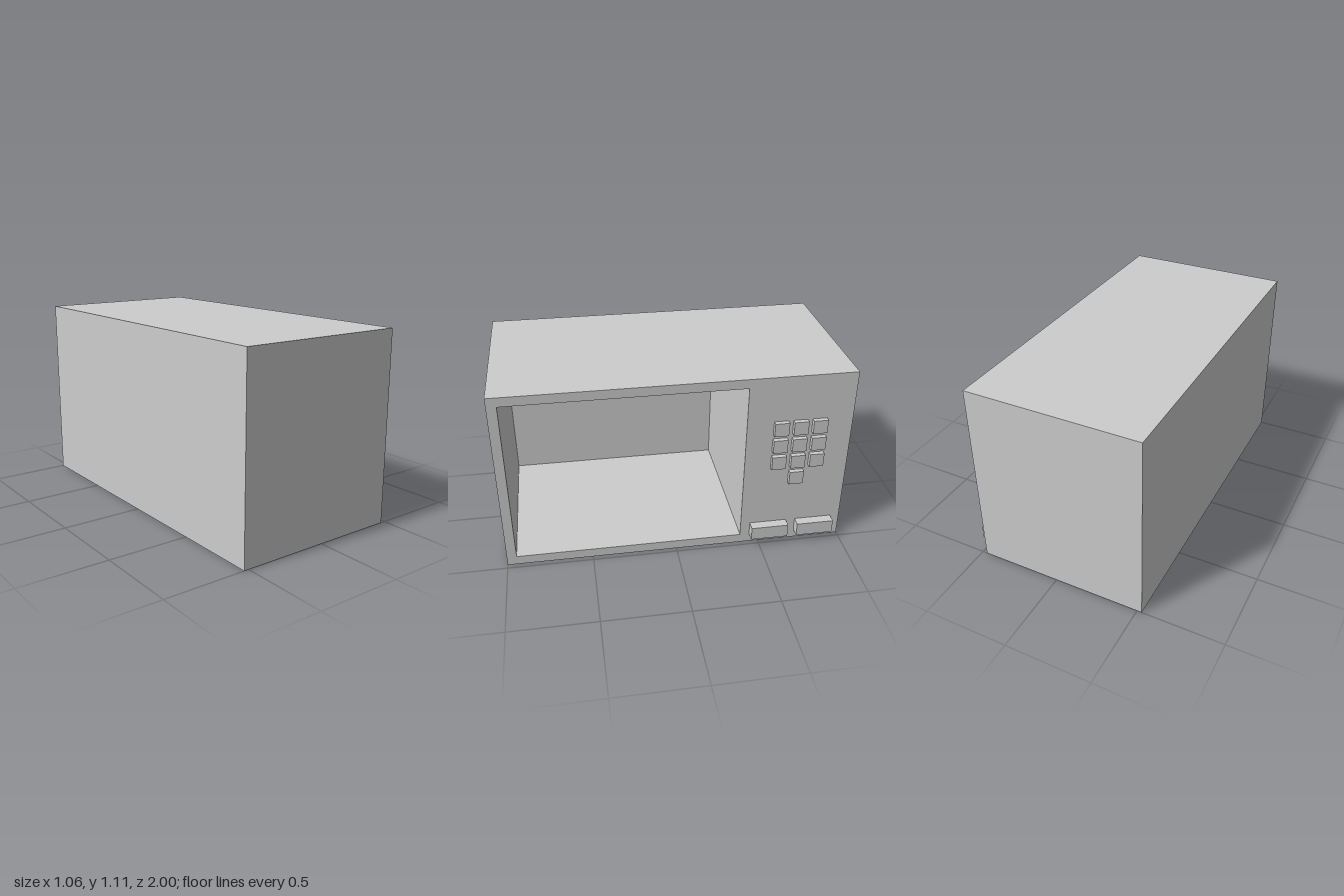
import * as THREE from 'three';

const casing = new THREE.MeshStandardMaterial({ color: 0xcccccc });
casing.name = 'casing grey';

const FACE = 0.472; // x of the control face
const BACK = -0.528;
const HEIGHT = 1.111;

function add(parent, name, geometry) {
  const mesh = new THREE.Mesh(geometry, casing);
  mesh.name = name;
  parent.add(mesh);
  return mesh;
}

// Box between two corners without its +x side; inward turns the faces to the inside
function openBox([x0, y0, z0], [x1, y1, z1], inward) {
  const box = new THREE.BoxGeometry(x1 - x0, y1 - y0, z1 - z0);
  box.translate((x0 + x1) / 2, (y0 + y1) / 2, (z0 + z1) / 2);
  const index = Array.from(box.index.array).slice(6);
  box.setIndex(inward ? index.reverse() : index);
  box.clearGroups();
  box.computeVertexNormals();
  return box;
}

function rectangle(path, z0, z1, y0, y1) {
  path.moveTo(-z1, y0).lineTo(-z0, y0);
  path.lineTo(-z0, y1).lineTo(-z1, y1).closePath();
  return path;
}

// Button standing out of the control face
function button(parent, name, y, z, depth, height, width) {
  add(parent, name, new THREE.BoxGeometry(depth, height, width))
    .position.set(FACE + depth / 2, y, z);
}

export function createModel() {
  const model = new THREE.Group();
  model.name = 'microwaveOven';

  // Casing and cooking cavity, both open towards +x
  const cavity = { z0: -0.389, z1: 0.944, y0: 0.056, y1: 1.056 };
  add(model, 'outerCasing', openBox([BACK, 0, -1], [FACE, HEIGHT, 1], false));
  add(model, 'cookingCavity', openBox(
    [BACK + 0.05, cavity.y0, cavity.z0], [FACE, cavity.y1, cavity.z1], true));

  // Control face framing the opening
  const panel = rectangle(new THREE.Shape(), -1, 1, 0, HEIGHT);
  panel.holes.push(rectangle(new THREE.Path(), cavity.z0, cavity.z1, cavity.y0, cavity.y1));
  add(model, 'controlFace', new THREE.ShapeGeometry(panel).rotateY(Math.PI / 2).translate(FACE, 0, 0));

  // Keypad: three rows of three and a single key below
  const keypad = new THREE.Group();
  keypad.name = 'keypad';
  model.add(keypad);
  for (let row = 0; row < 4; row++) {
    for (let col = -1; col <= 1; col++) {
      if (row === 3 && col !== 0) continue;
      button(keypad, 'key', 0.794 - row * 0.111, -0.695 - col * 0.111, 0.028, 0.083, 0.083);
    }
  }

  // Two wide push buttons at the bottom
  for (const z of [-0.556, -0.834]) button(model, 'wideButton', 0.097, z, 0.056, 0.083, 0.222);

  return model;
}
